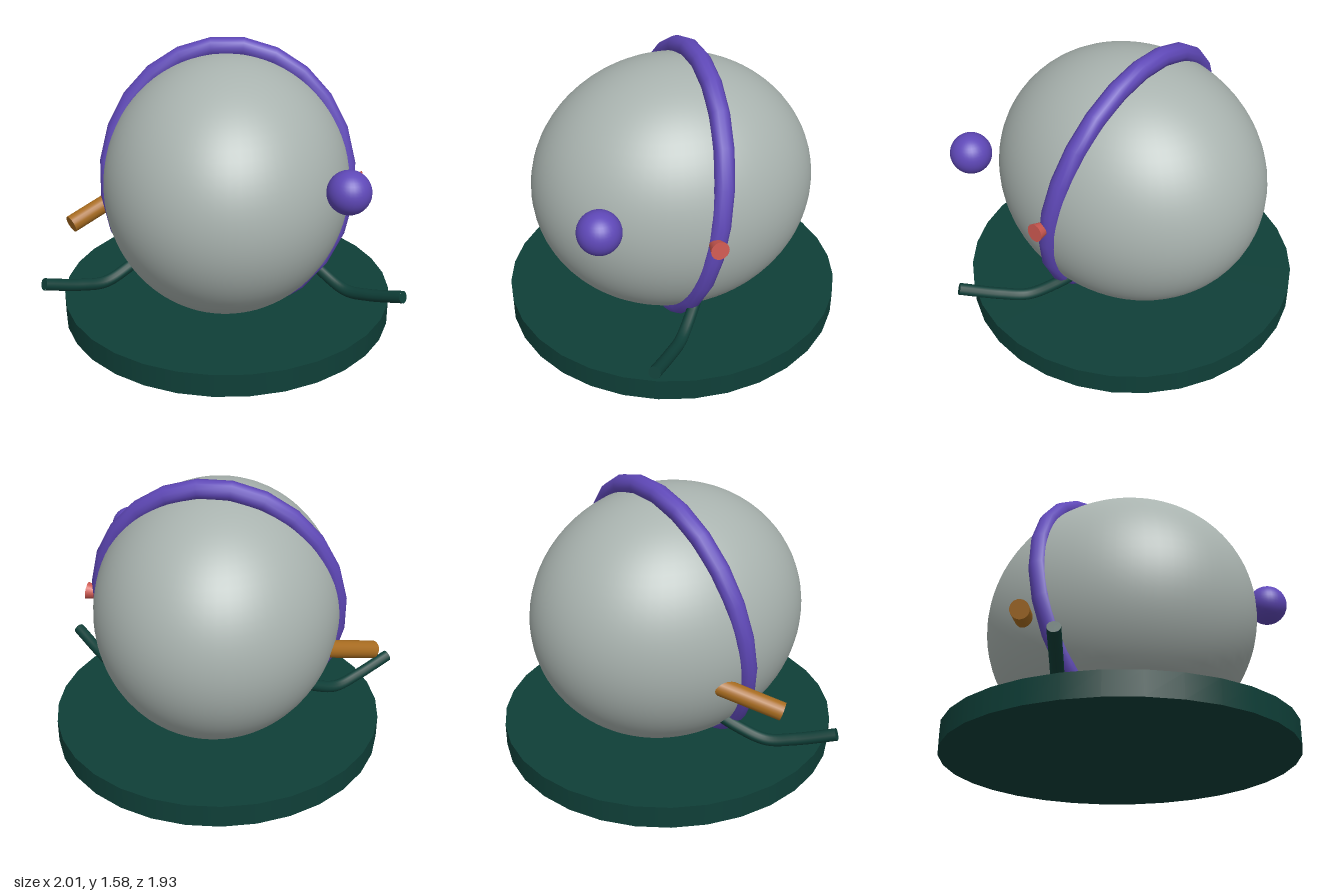
import * as THREE from 'three';

const mat = (name, color) => {
  const m = new THREE.MeshStandardMaterial({ color });
  m.name = name;
  return m;
};

export function createModel() {
  const group = new THREE.Group();
  const grey = mat('pale grey', 0xa9b3af);
  const green = mat('dark green', 0x0f3f38);
  const purple = mat('purple', 0x5f48b8);
  const red = mat('coral red', 0xcb5850);
  const brown = mat('amber brown', 0xa86c20);

  const add = (name, geometry, material, x = 0, y = 0, z = 0) => {
    const mesh = new THREE.Mesh(geometry, material);
    mesh.name = name;
    mesh.position.set(x, y, z);
    group.add(mesh);
    return mesh;
  };

  // Cylinder running between two points
  const rod = (name, from, to, r0, r1, sides, material) => {
    const a = new THREE.Vector3(...from), b = new THREE.Vector3(...to);
    const dir = b.clone().sub(a);
    const mid = a.clone().add(b).multiplyScalar(0.5);
    const mesh = add(name, new THREE.CylinderGeometry(r1, r0, dir.length(), sides), material, mid.x, mid.y, mid.z);
    mesh.quaternion.setFromUnitVectors(new THREE.Vector3(0, 1, 0), dir.normalize());
    return mesh;
  };

  // Oval base disc
  add('base', new THREE.CylinderGeometry(1, 1, 0.13, 32), green, 0, 0.07, 0).scale.set(0.95, 1, 0.967);

  // Egg-shaped body
  add('body', new THREE.SphereGeometry(1, 64, 40), grey, 0, 0.783, 0).scale.set(0.692, 0.727, 0.8);

  // Tilted band around the body: spun, squeezed sideways, then leaned back
  const band = new THREE.TorusGeometry(0.75, 0.055, 12, 24);
  band.rotateZ(0.14);
  band.scale(0.905, 1, 1);
  band.rotateY(0.025);
  band.rotateX(-0.174);
  add('band', band, purple, 0, 0.797, 0);

  // Floating ball
  add('ball', new THREE.SphereGeometry(0.114, 32, 20), purple, 0.653, 0.987, 0.59);

  // Flared button on the left side
  rod('button', [0.67, 0.802, 0], [0.766, 0.815, 0], 0.028, 0.05, 16, red);

  // Spout on the right side
  rod('spout', [-0.6, 0.652, -0.155], [-0.89, 0.53, 0.1], 0.05, 0.05, 20, brown);

  // Mirrored bent arms with closed tips
  for (const [side, label] of [[1, 'left'], [-1, 'right']]) {
    const points = [
      [0.45, 0.34, -0.01], [0.56, 0.265, 0.075], [0.69, 0.208, 0.18],
      [0.81, 0.237, 0.28], [0.983, 0.31, 0.42],
    ].map(([x, y, z]) => new THREE.Vector3(side * x, y, z));
    const curve = new THREE.CatmullRomCurve3(points);
    add(label + 'Arm', new THREE.TubeGeometry(curve, 32, 0.034, 12), green);
    const tip = add(label + 'ArmTip', new THREE.CircleGeometry(0.034, 12), green, ...points[4].toArray());
    tip.quaternion.setFromUnitVectors(new THREE.Vector3(0, 0, 1), curve.getTangent(1));
  }

  return group;
}
